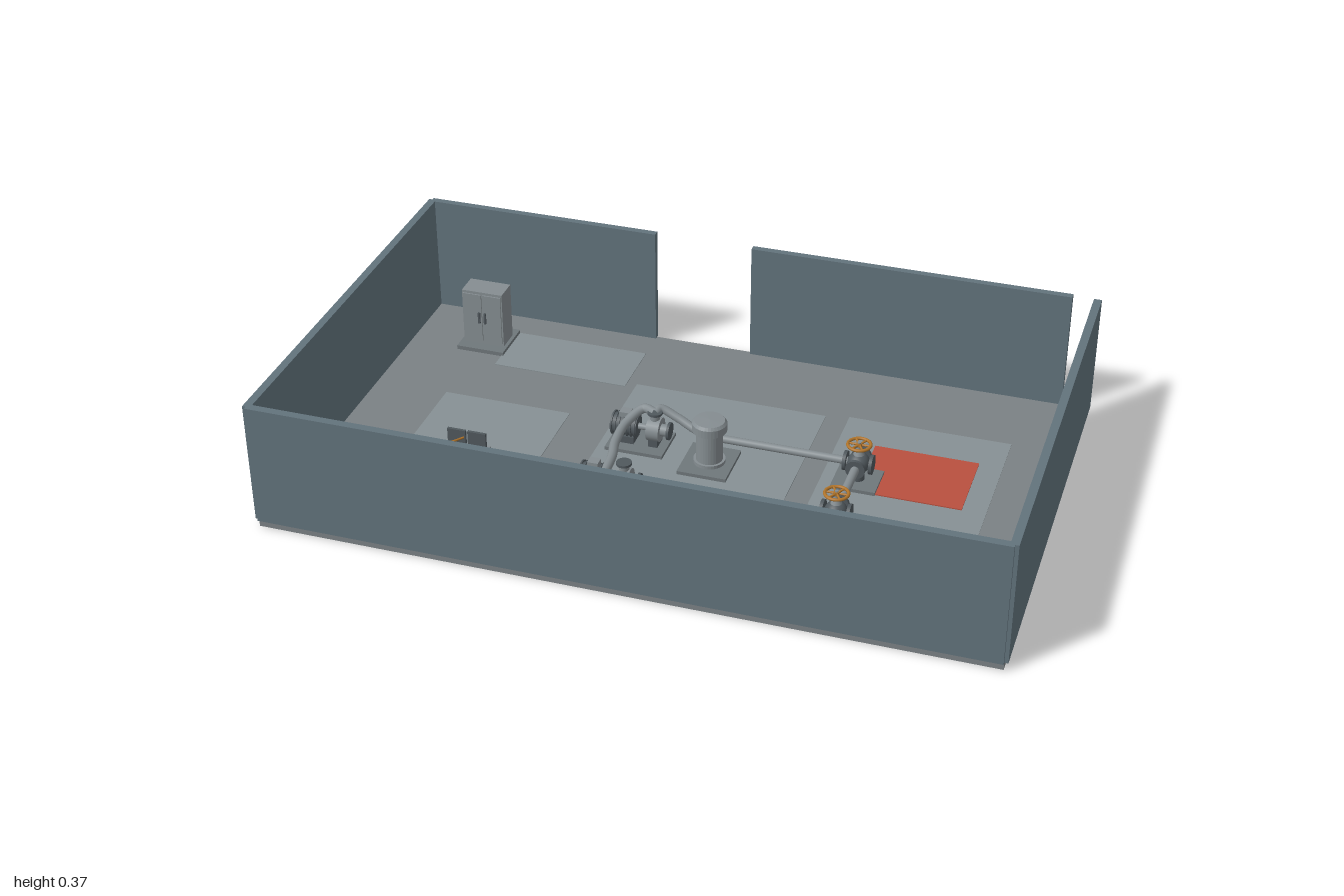
import * as THREE from 'three';

const COLORS = {
  wall: 0x62737c, floor: 0x7b8184, zone: 0x869094, marking: 0xb8503f, skid: 0x6f777b,
  steel: 0x858d91, dark: 0x50585d, brass: 0xb0742a, screen: 0x24445c,
};
const materials = {};
for (const [key, color] of Object.entries(COLORS)) {
  materials[key] = new THREE.MeshStandardMaterial();
  materials[key].color.set(color);
}

const FLOOR = 0.022;   // top of the slab
const SKID = 0.034;    // top of the machine plinths

function add(parent, name, geometry, mat, x = 0, y = 0, z = 0) {
  const mesh = new THREE.Mesh(geometry, materials[mat]);
  mesh.name = name;
  mesh.position.set(x, y, z);
  parent.add(mesh);
  return mesh;
}

// Box given by its limits on each axis
function block(parent, name, mat, [x0, x1], [y0, y1], [z0, z1]) {
  const geo = new THREE.BoxGeometry(x1 - x0, y1 - y0, z1 - z0);
  return add(parent, name, geo, mat, (x0 + x1) / 2, (y0 + y1) / 2, (z0 + z1) / 2);
}

// Cylinder centred on a point, along the named axis
function rod(parent, name, mat, r, length, axis, x, y, z, rTop = r) {
  const geo = new THREE.CylinderGeometry(rTop, r, length, 24);
  if (axis === 'x') geo.rotateZ(-Math.PI / 2);
  if (axis === 'z') geo.rotateX(Math.PI / 2);
  return add(parent, name, geo, mat, x, y, z);
}

function hose(parent, name, mat, r, points) {
  const curve = new THREE.CatmullRomCurve3(points.map((p) => new THREE.Vector3(...p)));
  return add(parent, name, new THREE.TubeGeometry(curve, 48, r, 12), mat);
}

function group(parent, name, x = 0, z = 0) {
  const g = new THREE.Group();
  g.name = name;
  g.position.set(x, 0, z);
  parent.add(g);
  return g;
}

function buildRoom(root) {
  const room = group(root, 'room');
  const height = [FLOOR, 0.37];
  block(room, 'floor', 'floor', [-0.99, 0.99], [0, FLOOR], [-0.605, 0.605]);
  block(room, 'frontWall', 'wall', [-0.99, 0.99], height, [0.592, 0.614]);
  block(room, 'backWallRight', 'wall', [-0.99, -0.29], height, [-0.614, -0.594]);
  block(room, 'backWallLeft', 'wall', [0, 0.92], height, [-0.614, -0.594]);
  block(room, 'rightWall', 'wall', [-1, -0.978], height, [-0.605, 0.605]);
  block(room, 'leftWall', 'wall', [0.978, 1], height, [-0.605, 0.605]);
  const zones = [
    [[-0.69, -0.29], [-0.5, -0.31]], [[-0.765, -0.39], [-0.125, 0.49]],
    [[-0.26, 0.3], [-0.33, 0.38]], [[0.365, 0.825], [-0.345, 0.365]],
  ];
  for (const [xs, zs] of zones) block(room, 'floorZone', 'zone', xs, [FLOOR, 0.024], zs);
  block(room, 'redFloorMarking', 'marking', [0.47, 0.76], [FLOOR, 0.027], [-0.22, 0.01]);
}

function buildCabinet(root) {
  const g = group(root, 'cabinet', -0.757, -0.43);
  block(g, 'plinth', 'skid', [-0.072, 0.072], [FLOOR, SKID], [-0.07, 0.07]);
  block(g, 'body', 'steel', [-0.062, 0.062], [SKID, 0.205], [-0.035, 0.035]);
  for (const s of [-1, 1]) {
    const door = block(g, 'door', 'steel', [-0.028, 0.028], [0.044, 0.197], [0.035, 0.039]);
    door.position.x = s * 0.03;
    const handle = block(g, 'handle', 'dark', [-0.003, 0.003], [0.105, 0.14], [0.039, 0.045]);
    handle.position.x = s * 0.009;
  }
}

// Control desk with two screens, a sensor post and the cable between them
function buildConsole(root) {
  const g = group(root, 'controlDesk', -0.553, 0.245);
  block(g, 'plinth', 'skid', [-0.075, 0.075], [FLOOR, SKID], [-0.06, 0.06]);
  block(g, 'body', 'dark', [-0.055, 0.055], [SKID, 0.09], [-0.025, 0.035]);
  block(g, 'desktop', 'steel', [-0.062, 0.062], [0.09, 0.102], [-0.036, 0.04]);
  for (const x of [-0.029, 0.029]) {
    block(g, 'monitor', 'dark', [x - 0.026, x + 0.026], [0.106, 0.148], [-0.026, -0.018]);
    block(g, 'screen', 'screen', [x - 0.022, x + 0.022], [0.111, 0.144], [-0.028, -0.026]);
    block(g, 'monitorStand', 'dark', [x - 0.004, x + 0.004], [0.1, 0.11], [-0.024, -0.018]);
  }
  const s = group(root, 'sensorPost', -0.735, 0.372);
  block(s, 'plinth', 'skid', [-0.03, 0.03], [FLOOR, SKID], [-0.018, 0.018]);
  rod(s, 'post', 'steel', 0.007, 0.09, 'y', 0, 0.079, 0);
  block(s, 'sensorBox', 'dark', [-0.02, 0.02], [0.115, 0.15], [-0.013, 0.013]);
  const stops = [[-0.553, 0.14, 0.245], [-0.64, 0.145, 0.37], [-0.72, 0.14, 0.372]]
    .map((p) => new THREE.Vector3(...p));
  const path = new THREE.CurvePath();
  path.add(new THREE.LineCurve3(stops[0], stops[1]));
  path.add(new THREE.LineCurve3(stops[1], stops[2]));
  add(root, 'sensorCable', new THREE.TubeGeometry(path, 40, 0.003, 8), 'brass');
}

// Finned motor driving a round pump casing
function buildPump(root, z) {
  const g = group(root, 'pump', -0.155, z);
  const y = 0.08;
  block(g, 'plinth', 'skid', [-0.08, 0.085], [FLOOR, SKID], [-0.065, 0.06]);
  rod(g, 'motor', 'dark', 0.029, 0.075, 'x', -0.038, y, 0);
  for (let i = 0; i < 7; i++) rod(g, 'motorFin', 'dark', 0.034, 0.004, 'x', -0.071 + i * 0.011, y, 0);
  block(g, 'motorFoot', 'dark', [-0.068, -0.008], [SKID, 0.055], [-0.026, 0.026]);
  block(g, 'terminalBox', 'steel', [-0.052, -0.022], [0.108, 0.124], [-0.014, 0.014]);
  rod(g, 'shaft', 'steel', 0.009, 0.035, 'x', 0.012, y, 0);
  rod(g, 'casing', 'steel', 0.034, 0.036, 'x', 0.047, y, 0);
  rod(g, 'inletNozzle', 'steel', 0.017, 0.03, 'x', 0.075, y, 0);
  rod(g, 'inletFlange', 'dark', 0.025, 0.007, 'x', 0.088, y, 0);
  block(g, 'casingFoot', 'dark', [0.034, 0.06], [SKID, 0.06], [-0.024, 0.024]);
  rod(g, 'outletNozzle', 'steel', 0.014, 0.03, 'y', 0.047, 0.12, 0);
  rod(g, 'outletFlange', 'dark', 0.021, 0.007, 'y', 0.047, 0.132, 0);
}

function buildVessel(root) {
  const g = group(root, 'vessel', 0.06, 0);
  block(g, 'plinth', 'skid', [-0.07, 0.068], [FLOOR, SKID], [-0.075, 0.075]);
  const profile = [[0, 0.034], [0.044, 0.034], [0.044, 0.044], [0.037, 0.044], [0.037, 0.135],
    [0.048, 0.135], [0.048, 0.158], [0.042, 0.166], [0, 0.168]].map((p) => new THREE.Vector2(...p));
  const geo = new THREE.LatheGeometry(profile, 32).toNonIndexed();
  geo.computeVertexNormals();
  add(g, 'body', geo, 'steel');
}

function buildValve(root, z) {
  const g = group(root, 'valve', 0.465, z);
  block(g, 'plinth', 'skid', [-0.063, 0.06], [FLOOR, SKID], [-0.055, 0.055]);
  rod(g, 'foot', 'dark', 0.018, 0.03, 'y', 0, 0.049, 0);
  add(g, 'body', new THREE.SphereGeometry(0.031, 24, 16), 'dark', 0, 0.085, 0);
  for (const s of [-1, 1]) {
    rod(g, 'flange', 'dark', 0.027, 0.009, 'z', 0, 0.085, s * 0.036);
    rod(g, 'sideFlange', 'dark', 0.027, 0.009, 'x', s * 0.036, 0.085, 0);
  }
  rod(g, 'bonnet', 'steel', 0.018, 0.02, 'y', 0, 0.115, 0, 0.01);
  rod(g, 'stem', 'steel', 0.005, 0.04, 'y', 0, 0.13, 0);
  const wheel = group(g, 'handwheel');
  wheel.position.y = 0.142;
  add(wheel, 'rim', new THREE.TorusGeometry(0.031, 0.0045, 10, 32).rotateX(Math.PI / 2), 'brass');
  rod(wheel, 'hub', 'brass', 0.008, 0.01, 'y', 0, 0, 0);
  for (let i = 0; i < 3; i++) {
    rod(wheel, 'spoke', 'brass', 0.003, 0.062, 'x', 0, 0, 0).rotation.y = (i * Math.PI) / 3;
  }
}

function buildPipes(root) {
  const g = group(root, 'pipework');
  hose(g, 'dischargeHose', 'steel', 0.012, [[-0.108, 0.13, -0.04], [-0.1, 0.135, -0.06],
    [-0.05, 0.115, -0.06], [0.02, 0.09, -0.045], [0.08, 0.085, -0.04]]);
  rod(g, 'dischargePipe', 'steel', 0.011, 0.395, 'x', 0.2675, 0.085, -0.04);
  hose(g, 'connectingHose', 'steel', 0.013, [[-0.108, 0.132, -0.04], [-0.145, 0.13, -0.055],
    [-0.178, 0.11, 0.0], [-0.178, 0.105, 0.09], [-0.16, 0.11, 0.17], [-0.153, 0.11, 0.25]]);
  rod(g, 'valvePipe', 'steel', 0.012, 0.4, 'z', 0.465, 0.085, 0.08);
  rod(g, 'headerPipe', 'steel', 0.01, 0.95, 'x', 0.195, 0.13, 0.275);
  for (const x of [-0.282, 0.674]) rod(g, 'pipeEndCap', 'brass', 0.008, 0.016, 'x', x, 0.13, 0.275);
  rod(g, 'gaugePipe', 'steel', 0.006, 0.11, 'z', -0.25, 0.13, 0.325);
}

function buildGauge(root) {
  const g = group(root, 'gauge', -0.25, 0.385);
  block(g, 'plinth', 'skid', [-0.037, 0.037], [FLOOR, SKID], [-0.027, 0.027]);
  rod(g, 'post', 'steel', 0.006, 0.09, 'y', 0, 0.079, 0);
  rod(g, 'dialHousing', 'dark', 0.034, 0.016, 'z', 0, 0.13, 0);
  for (const s of [-1, 1]) rod(g, 'dialFace', 'steel', 0.027, 0.003, 'z', 0, 0.13, s * 0.009);
}

export function createModel() {
  const root = new THREE.Group();
  root.name = 'pumpRoom';
  buildRoom(root);
  buildCabinet(root);
  buildConsole(root);
  for (const z of [-0.04, 0.22]) buildPump(root, z);
  buildVessel(root);
  for (const z of [-0.04, 0.2]) buildValve(root, z);
  buildPipes(root);
  buildGauge(root);
  return root;
}
